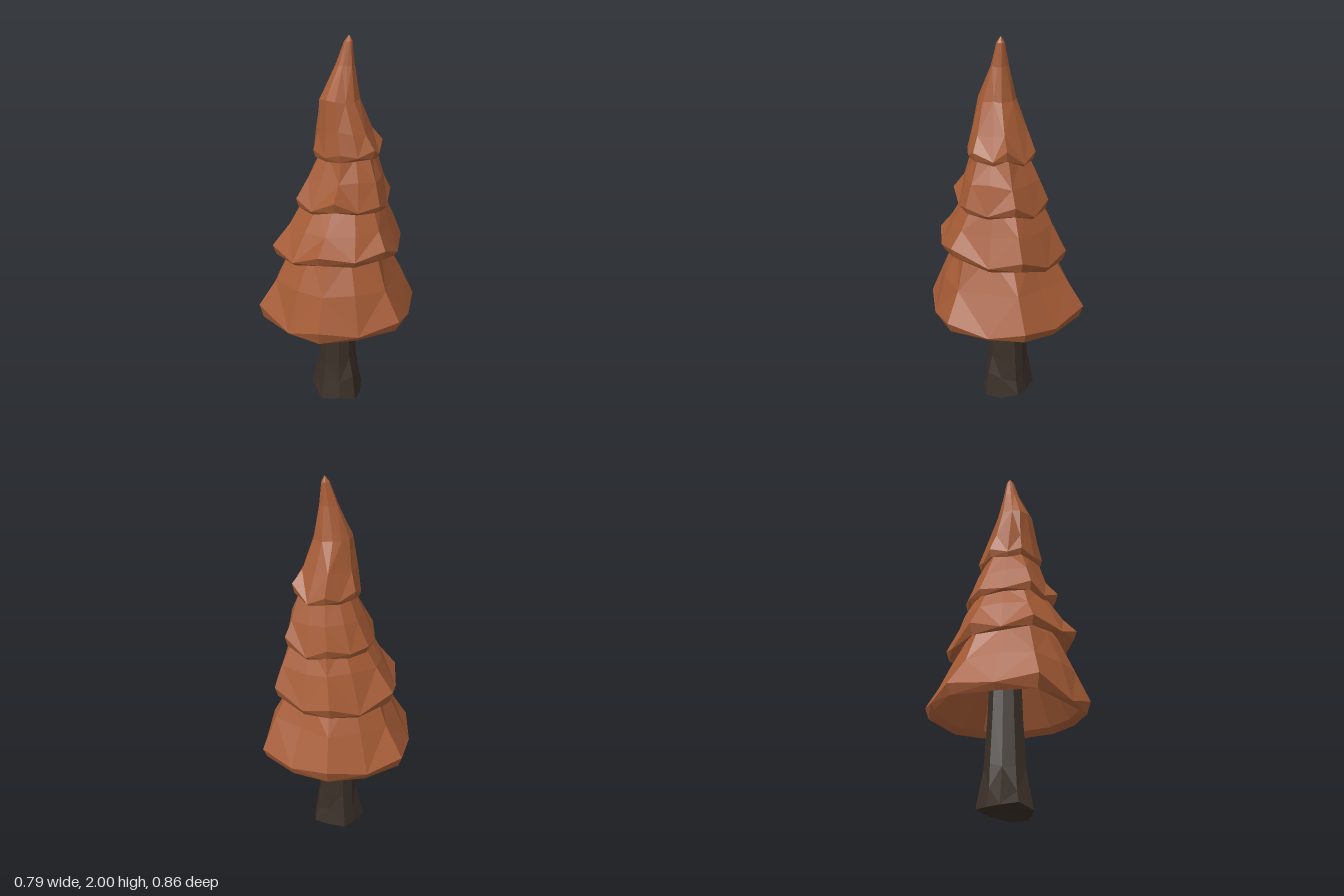
import * as THREE from 'three';

const leafMat = new THREE.MeshStandardMaterial({ color: 0xa65c36, flatShading: true });
const barkMat = new THREE.MeshStandardMaterial({ color: 0x3a2f27, flatShading: true });

// Gently bent centre line of the foliage
const spine = [
  [0, 0.5, 0], [0.01, 0.9, 0.028], [0.045, 1.2, 0.012],
  [0.055, 1.42, 0.018], [0.018, 1.69, 0.04], [0.06, 2, 0.012],
].map((p) => new THREE.Vector3(...p));

function spineAt(y) {
  const k = Math.max(1, spine.findIndex((p) => p.y >= y));
  const a = spine[k - 1], b = spine[k];
  return a.clone().lerp(b, THREE.MathUtils.clamp((y - a.y) / (b.y - a.y), 0, 1));
}

// Repeatable small irregularity in the range -1..1
function wobble(i, j) {
  const s = Math.sin(i * 12.9898 + j * 78.233) * 43758.5453;
  return (s - Math.floor(s)) * 2 - 1;
}

// Ring of points about a centre; radius and height are functions of index and angle
function ring(sides, centre, radius, height, jitter) {
  return Array.from({ length: sides }, (_, i) => {
    const a = (i / sides) * Math.PI * 2;
    const r = Math.max(radius(i, a), 0.002);
    const turned = a + jitter(i);
    return [centre.x + r * Math.cos(turned), height(i, a), centre.z + r * Math.sin(turned)];
  });
}

// Skin a list of rings that run upward on the outside
function loft(rings) {
  const pos = [];
  for (let k = 0; k < rings.length - 1; k++) {
    const lo = rings[k], hi = rings[k + 1], n = lo.length;
    for (let i = 0; i < n; i++) {
      const j = (i + 1) % n;
      const corners = (i + k) % 2
        ? [lo[i], hi[i], lo[j], lo[j], hi[i], hi[j]]
        : [lo[i], hi[i], hi[j], lo[i], hi[j], lo[j]];
      corners.forEach((p) => pos.push(...p));
    }
  }
  const geo = new THREE.BufferGeometry();
  geo.setAttribute('position', new THREE.Float32BufferAttribute(pos, 3));
  geo.computeVertexNormals();
  return geo;
}

// Outer slopes: pairs of height fraction and radius fraction
const skirt = [[0.55, 0.79], [1, 0.59], [1.25, 0.45]];
const spire = [[0.23, 0.8], [0.48, 0.56], [0.76, 0.27], [0.95, 0.12], [1, 0.01]];

// Each tier is a hollow, roughly six-cornered skirt; tilt raises the front of its rim
const tiers = [
  { name: 'bottomBranches', r: 0.414, corner: 0.017, y: 0.505, h: 0.41, lip: 0.055, tilt: 0, hollow: 0.33, slope: skirt },
  { name: 'lowerBranches', r: 0.339, corner: 0.013, y: 0.868, h: 0.31, lip: 0.045, tilt: 0.036, hollow: 0.2, slope: skirt },
  { name: 'middleBranches', r: 0.244, corner: 0.01, y: 1.13, h: 0.285, lip: 0.038, tilt: 0.008, hollow: 0.17, slope: skirt },
  { name: 'crown', r: 0.176, corner: 0.006, y: 1.398, h: 0.602, lip: 0.04, tilt: 0, hollow: 0.1, slope: spire },
];

function makeTier(t, n) {
  // corners are longer, higher and thicker than the sides between them
  const corner = (a) => -Math.cos(6 * a);
  const outline = (i, a) => t.r + t.corner * corner(a) + 0.008 * wobble(i, n);
  const rimY = (i, a) => t.y + t.tilt * Math.cos(a - 1.4) + 0.008 * corner(a) + 0.014 * wobble(i, n + 20);
  const lip = (i, a) => t.lip * (0.8 + 0.3 * corner(a) + 0.25 * wobble(i, n + 40));
  const layer = (y, radius, height) => ring(12, spineAt(y), radius, height, (i) => 0.07 * wobble(i, n + 60));
  const ceiling = t.y + t.hollow;
  const rings = [
    // hollow underside
    layer(t.y, () => 0, () => ceiling + 0.02),
    layer(t.y, (i, a) => outline(i, a) * 0.62 - 0.03, () => ceiling),
    layer(t.y, (i, a) => outline(i, a) * 0.95 - 0.03, (i, a) => rimY(i, a) + 0.03),
    // rim lip, tucked in underneath
    layer(t.y, (i, a) => outline(i, a) * 0.96 - 0.004, rimY),
    layer(t.y, outline, (i, a) => rimY(i, a) + lip(i, a)),
  ];
  // sloping outer faces, smoother toward the top
  t.slope.forEach(([up, scale], k) => {
    const y = t.y + t.h * up;
    const rough = scale > 0.2 ? 0.014 * scale : 0;
    rings.push(layer(y,
      (i, a) => outline(i, a) * scale + rough * wobble(i, n * 7 + k),
      (i) => y + rough * wobble(i + 3, n + k)));
  });
  const mesh = new THREE.Mesh(loft(rings), leafMat);
  mesh.name = t.name;
  return mesh;
}

// Trunk with alternating root ridges and a ragged foot
function makeTrunk() {
  const root = (i) => (i % 2 ? 0.152 : 0.132);
  const layer = (radius, height) => ring(10, new THREE.Vector3(-0.003, 0, 0), radius, height, (i) => 0.06 * wobble(i, 3));
  const column = (r, y) => layer((i) => r * (1 + 0.07 * wobble(i, 5)), (i) => y + 0.015 * wobble(i, 4));
  const mesh = new THREE.Mesh(loft([
    layer(() => 0, () => 0.045),
    layer(root, (i) => 0.024 + 0.024 * wobble(i, 2)),
    layer((i) => root(i) * 0.87, (i) => 0.12 + 0.02 * wobble(i, 8)),
    column(0.108, 0.23),
    column(0.092, 0.5),
    column(0.08, 0.84),
    layer(() => 0, () => 0.87),
  ]), barkMat);
  mesh.name = 'trunk';
  return mesh;
}

export function createModel() {
  const tree = new THREE.Group();
  tree.name = 'tree';
  tree.add(makeTrunk(), ...tiers.map((t, n) => makeTier(t, n + 1)));
  return tree;
}
